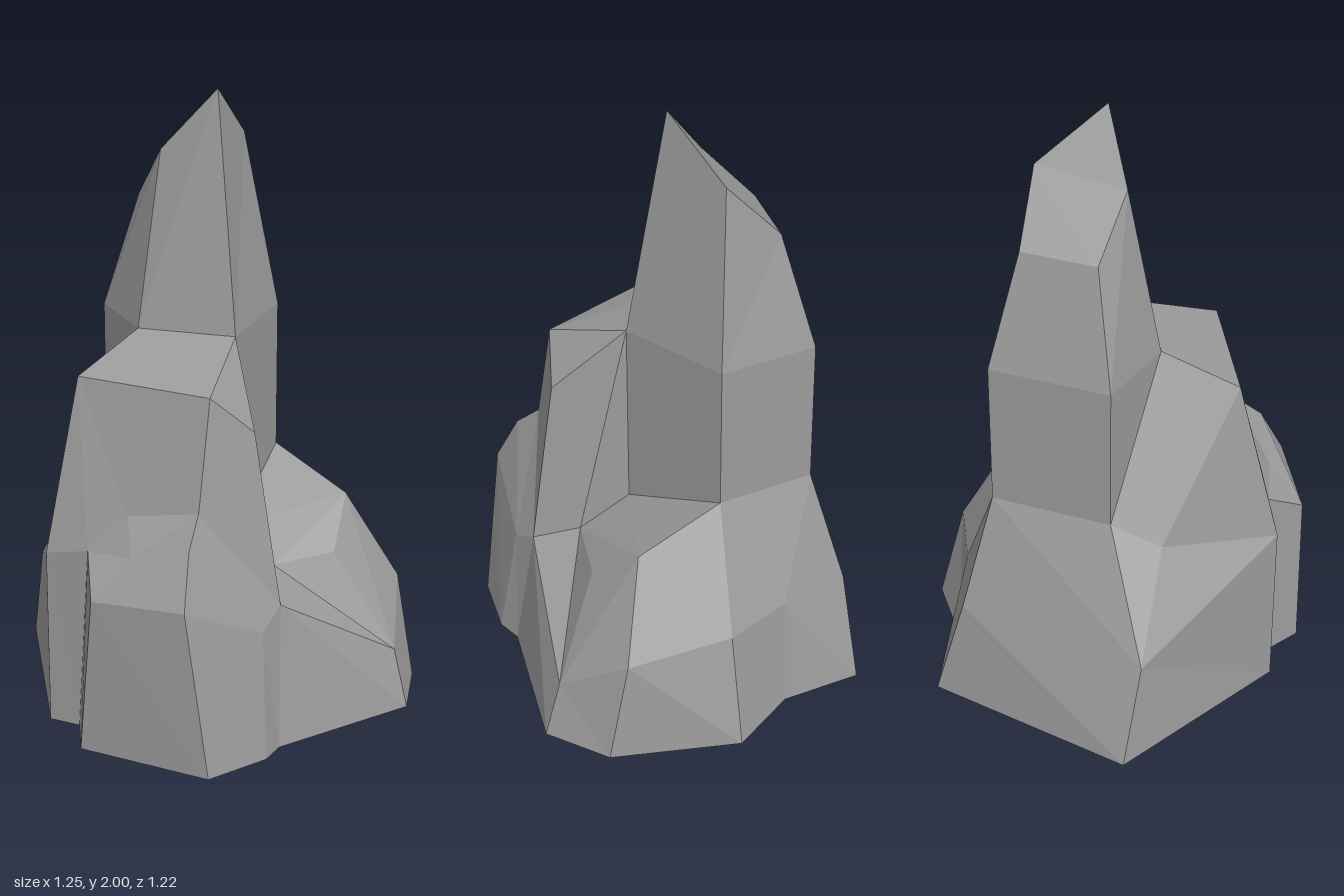
import * as THREE from 'three';

const material = new THREE.MeshStandardMaterial({
  color: 0x9b9b9b, flatShading: true, side: THREE.DoubleSide,
});

// Flat-faceted mesh from polygons, each a list of [x, y, z] corners
function facets(name, polygons) {
  const pos = [];
  for (const p of polygons) {
    for (let i = 1; i < p.length - 1; i++) pos.push(...p[0], ...p[i], ...p[i + 1]);
  }
  const geo = new THREE.BufferGeometry();
  geo.setAttribute('position', new THREE.Float32BufferAttribute(pos, 3));
  geo.computeVertexNormals();
  const mesh = new THREE.Mesh(geo, material);
  mesh.name = name;
  return mesh;
}

// Quads joining two closed rings; flip picks the other diagonal
function band(upper, lower, flip = false) {
  return upper.map((a, i) => {
    const j = (i + 1) % upper.length;
    return flip ? [a, lower[i], lower[j], upper[j]] : [lower[i], lower[j], upper[j], a];
  });
}

export function createModel() {
  const rock = new THREE.Group();
  rock.name = 'rock';

  // Spire cross-sections: slanted tip, neck and foot
  const tip = [[0.2, 1.82, -0.08], [0.17, 1.62, -0.265], [-0.085, 1.62, -0.26],
    [-0.11, 1.8, -0.09], [0.01, 2, 0.05]];
  const neck = [[0.31, -0.04], [0.24, -0.365], [-0.165, -0.355], [-0.215, -0.065], [-0.01, 0.18]]
    .map(([x, z]) => [x, 1.24, z]);
  const foot = neck.map(([x, , z], i) => [x, i === 4 ? 0.6 : 0.75, z]);
  rock.add(facets('spire', [tip, ...band(tip, neck), ...band(neck, foot)]));

  // Base wall: upper rim and ground outline, counter-clockwise from above
  const rim = [
    [0.39, 0.19, 0.52], [0.55, 0.345, 0.33], [0.525, 0.37, -0.02], [0.405, 0.37, -0.235],
    [0.31, 0.36, -0.47], [-0.335, 0.335, -0.51], [-0.605, 0.585, 0], [-0.53, 0.62, 0.13],
    [-0.605, 0.52, 0.27], [-0.44, 0.54, 0.54], [-0.15, 0.4, 0.54], [-0.055, 0.455, 0.5],
  ];
  const ground = [
    [0.405, 0.575], [0.57, 0.4], [0.62, -0.03], [0.455, -0.23], [0.405, -0.5], [-0.315, -0.61],
    [-0.605, 0], [-0.55, 0.09], [-0.625, 0.225], [-0.4, 0.61], [-0.18, 0.605], [-0.1, 0.565],
  ].map(([x, z]) => [x, 0, z]);
  rock.add(facets('baseWall', band(rim, ground, true)));

  const [front, side, hip, notch, back, backRight, flank, cleft, lump, corner, chin, lip] = rim;
  const [footL, footBL, footBR, , footF] = foot;
  const neckR = neck[3], neckF = neck[4];

  // Sloping ledge in front of the spire
  const ledgeIn = [0.02, 0.52, 0.355], ledgeMid = [0.25, 0.515, 0.37], ledgeOut = [0.385, 0.65, 0.25];
  rock.add(facets('frontLedge', [
    [footF, ledgeIn, ledgeOut, footL], [ledgeIn, ledgeMid, ledgeOut],
    [ledgeIn, lip, front], [ledgeIn, front, ledgeMid],
    [ledgeMid, front, ledgeOut], [ledgeOut, front, side],
    [ledgeOut, side, hip], [ledgeOut, hip, footL],
  ]));

  // Slopes behind the spire
  const dent = [-0.315, 0.66, -0.29];
  rock.add(facets('backSlope', [
    [footL, hip, notch], [footL, notch, footBL], [footBL, notch, back],
    [footBL, back, backRight, footBR], [footBR, backRight, dent], [dent, backRight, flank],
  ]));

  // Tall shoulder beside the spire
  const peak = [-0.465, 1.14, -0.02], brow = [-0.24, 1.14, 0.38], cheek = [-0.095, 1.01, 0.41];
  const knee = [-0.305, 0.79, 0.415], saddle = [-0.435, 0.745, 0.215];
  const lumpMid = [-0.475, 0.64, 0.295], lumpFront = [-0.38, 0.705, 0.475];
  rock.add(facets('shoulder', [
    [neckR, peak, brow, neckF], [neckF, brow, cheek],
    [neckF, cheek, lip, ledgeIn, footF],
    [neckR, footBR, dent, peak], [peak, dent, flank],
    [peak, flank, cleft, saddle, knee, brow],
    [brow, knee, cheek], [knee, lip, cheek],
  ]));

  // Low lump at the front corner of the shoulder
  rock.add(facets('cornerLump', [
    [cleft, lump, lumpMid, saddle], [lump, corner, lumpFront, lumpMid],
    [lumpMid, lumpFront, knee, saddle],
    [knee, lumpFront, chin], [knee, chin, lip], [lumpFront, corner, chin],
  ]));

  return rock;
}
